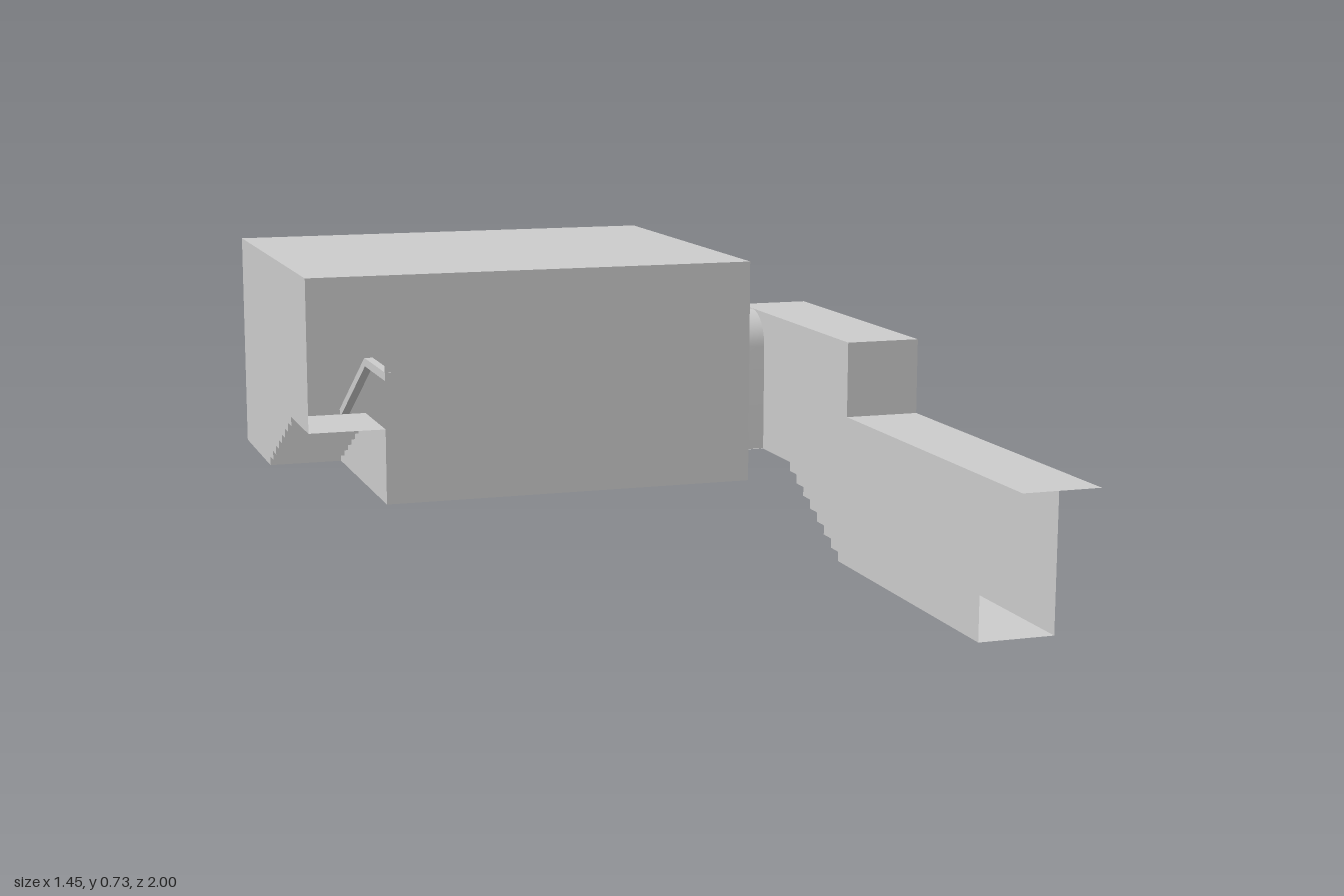
import * as THREE from 'three';
import { toCreasedNormals } from 'three/addons/utils/BufferGeometryUtils.js';

const material = new THREE.MeshStandardMaterial({ color: 0xcccccc, side: THREE.DoubleSide });

function add(group, name, geometry) {
  const mesh = new THREE.Mesh(geometry, material);
  mesh.name = name;
  group.add(mesh);
  return mesh;
}

// Upright panel in the z-y plane at a given x, with an optional opening
function sidePanel(points, x, hole) {
  const shape = new THREE.Shape(points.map(([z, y]) => new THREE.Vector2(z, y)));
  if (hole) shape.holes.push(new THREE.Path(hole.map(([z, y]) => new THREE.Vector2(z, y))));
  return new THREE.ShapeGeometry(shape).rotateY(-Math.PI / 2).translate(x, 0, 0);
}

// Thin sheet following a z-y path, stretched from x0 to x1
function sheet(path, x0, x1, crease = 0.4) {
  const positions = [];
  for (let i = 0; i < path.length - 1; i++) {
    const [za, ya] = path[i], [zb, yb] = path[i + 1];
    positions.push(x0, ya, za, x1, ya, za, x1, yb, zb, x0, ya, za, x1, yb, zb, x0, yb, zb);
  }
  const geometry = new THREE.BufferGeometry();
  geometry.setAttribute('position', new THREE.Float32BufferAttribute(positions, 3));
  return toCreasedNormals(geometry, crease);
}

// Zigzag of eight risers and seven treads
function stairs(zStart, zEnd, yStart, yEnd) {
  const path = [[zStart, yStart]];
  for (let i = 0; i < 8; i++) {
    const z = zStart + (zEnd - zStart) * i / 7;
    const y = yStart + (yEnd - yStart) * (i + 1) / 8;
    path.push([z, y]);
    if (i < 7) path.push([zStart + (zEnd - zStart) * (i + 1) / 7, y]);
  }
  return path;
}

// Round-topped doorway outline
function archPath() {
  const path = [[-0.46, 0.186]];
  for (let i = 0; i <= 16; i++) {
    const a = Math.PI * i / 16;
    path.push([-0.548 + 0.088 * Math.cos(a), 0.457 + 0.088 * Math.sin(a)]);
  }
  path.push([-0.636, 0.186]);
  return path;
}

function buildHall(arch) {
  const hall = new THREE.Group();
  hall.name = 'hall';
  const L = -0.727, S = -0.545, R = 0.363, B = 0.185, T = 0.727, back = -1, front = -0.094;
  const floorPath = [[back, B], ...stairs(-0.64, -0.32, B, 0.365), [front, 0.365]];
  add(hall, 'hallRoof', sheet([[back, T], [front, T]], L, R));
  add(hall, 'hallBackWall', sheet([[back, B], [back, T]], L, R));
  add(hall, 'hallFrontWall', sheet([[front, B], [front, T]], S, R));
  add(hall, 'hallFloor', sheet([[back, B], [front, B]], S, R));
  add(hall, 'hallStairs', sheet(floorPath, L, S));
  add(hall, 'hallLeftSideWall', sidePanel([...floorPath, [front, T], [back, T]], L));
  add(hall, 'hallDoorWall', sidePanel([[back, B], [front, B], [front, T], [back, T]], R, arch));
  // Closes the space beneath the stairs
  add(hall, 'stairSideWall', sidePanel([...floorPath.slice(1), [front, B]], S));

  // Square handrail along the open side of the stairs
  const rail = [[-0.092, 0.49], [-0.32, 0.49], [-0.64, 0.31]];
  for (let i = 0; i < rail.length - 1; i++) {
    const [za, ya] = rail[i], [zb, yb] = rail[i + 1];
    const bar = add(hall, 'handrail', new THREE.BoxGeometry(0.02, 0.02, Math.hypot(zb - za, yb - ya)));
    bar.position.set(-0.535, (ya + yb) / 2, (za + zb) / 2);
    bar.rotation.x = Math.atan2(yb - ya, za - zb);
  }
  return hall;
}

function buildCorridor(arch) {
  const corridor = new THREE.Group();
  corridor.name = 'corridor';
  const L = 0.545, R = 0.727, back = -0.636, end = 0.818;
  const floorPath = [[end, 0], ...stairs(0.05, -0.27, 0, 0.185), [back, 0.185]];
  const outline = [...floorPath, [back, 0.546], [0.09, 0.546], [0.09, 0.365], [end, 0.365]];
  add(corridor, 'corridorOuterWall', sidePanel(outline, R));
  add(corridor, 'corridorInnerWall', sidePanel(outline, L, arch.map(([z, y]) => [Math.max(z, back + 0.001), y])));
  add(corridor, 'corridorFloor', sheet(floorPath, L, R));
  // Stepped roof whose lower part overhangs the open entrance
  add(corridor, 'corridorRoof', sheet([[back, 0.185], [back, 0.546], [0.09, 0.546], [0.09, 0.365], [1, 0.365]], L, R));
  return corridor;
}

export function createModel() {
  const model = new THREE.Group();
  model.name = 'building';
  const arch = archPath();
  model.add(buildHall(arch), buildCorridor(arch));
  // Vaulted passage joining the hall to the corridor
  add(model, 'passageVault', sheet(arch, 0.363, 0.545));
  add(model, 'passageFloor', sheet([[-0.46, 0.185], [-0.636, 0.185]], 0.363, 0.545));
  return model;
}
